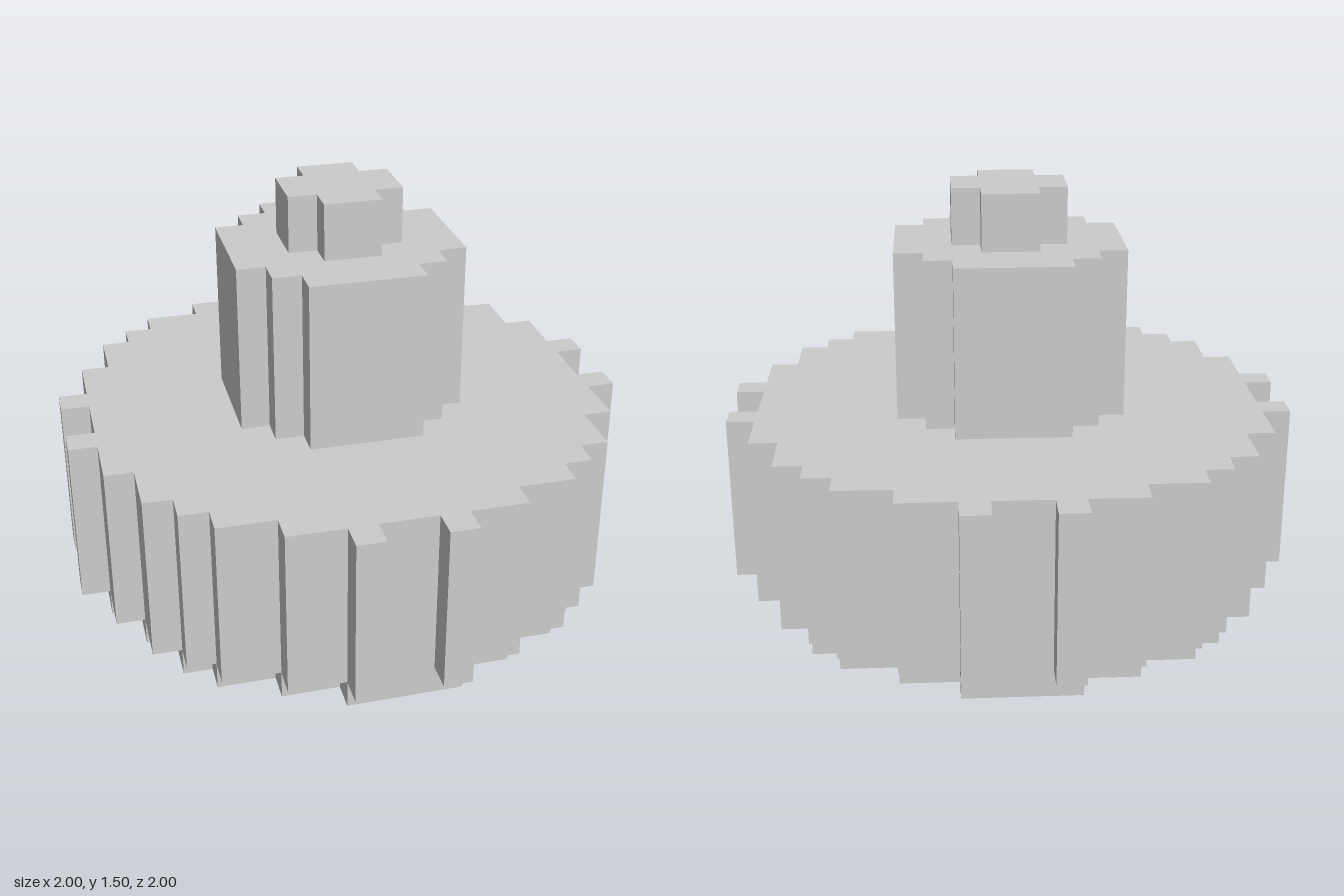
import * as THREE from 'three';

const material = new THREE.MeshStandardMaterial({ color: 0xcccccc, flatShading: true });

// Stepped outline: corners of one eighth, mirrored over the diagonal, then turned four times
function steppedOutline(eighth) {
  const mirrored = eighth.filter(([a, b]) => a !== b).map(([a, b]) => [b, a]).reverse();
  const quarter = [...eighth, ...mirrored];
  const points = [];
  for (let i = 0; i < 4; i++) {
    for (const [a, b] of quarter) {
      points.push(new THREE.Vector2(...[[a, b], [-b, a], [-a, -b], [b, -a]][i]));
    }
  }
  return new THREE.Shape(points);
}

// Upright tier between two heights
function tier(name, eighth, bottom, top) {
  const geometry = new THREE.ExtrudeGeometry(steppedOutline(eighth), {
    depth: top - bottom,
    bevelEnabled: false,
  });
  geometry.rotateX(-Math.PI / 2);
  geometry.translate(0, bottom, 0);
  const mesh = new THREE.Mesh(geometry, material);
  mesh.name = name;
  return mesh;
}

export function createModel() {
  const model = new THREE.Group();
  model.name = 'steppedTower';

  // Slightly inset foot
  const foot = [[0.9, 0.2], [0.8, 0.2], [0.8, 0.4], [0.7, 0.4], [0.7, 0.6], [0.6, 0.6]];
  // Wide drum with two small teeth on each side
  const drum = [
    [0.9, 0.1], [1, 0.1], [1, 0.2], [0.9, 0.2], [0.9, 0.4],
    [0.8, 0.4], [0.8, 0.6], [0.7, 0.6], [0.7, 0.7],
  ];
  // Narrow column and the cross-shaped cap on it
  const column = [[0.4, 0.2], [0.3, 0.2], [0.3, 0.3]];
  const cap = [[0.2, 0.1], [0.1, 0.1]];

  model.add(
    tier('foot', foot, 0, 0.1),
    tier('drum', drum, 0.1, 0.7),
    tier('column', column, 0.7, 1.3),
    tier('cap', cap, 1.3, 1.5),
  );
  return model;
}
